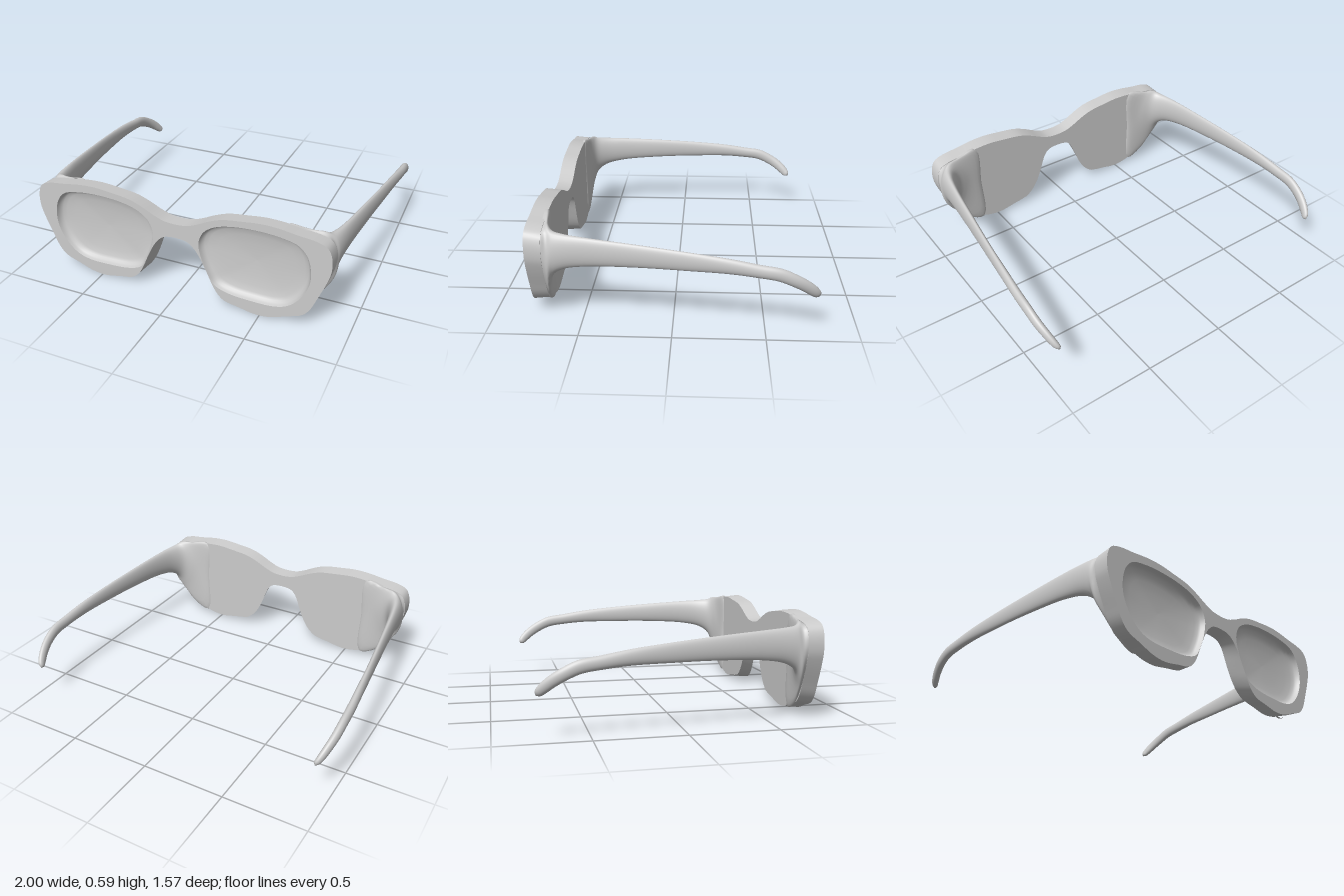
import * as THREE from 'three';

const FRONT = 0.785, BACK = 0.695;
const grey = new THREE.MeshStandardMaterial({ color: 0xcccccc });
const V = (x, y, z = 0) => new THREE.Vector3(x, y, z);

// Smooth closed ring through a few [x, y] points
const ringOf = (pts, n) => {
  const c = new THREE.CatmullRomCurve3(pts.map(p => V(p[0], p[1])), true, 'centripetal');
  return Array.from({ length: n }, (_, i) => c.getPoint(i / n));
};
// Mirror a ring across x = 0, keeping its turning direction
const mirror = ring => ring.map(p => V(-p.x, p.y, p.z)).reverse();

// Skin through counter-clockwise rings that run towards -z
function loft(rings, inside = false) {
  const n = rings[0].length, pos = [], idx = [];
  rings.forEach(r => r.forEach(p => pos.push(p.x, p.y, p.z)));
  for (let r = 0; r < rings.length - 1; r++) {
    for (let i = 0; i < n; i++) {
      const a = r * n + i, b = r * n + (i + 1) % n, c = a + n, d = b + n;
      if (inside) idx.push(a, b, c, b, d, c);
      else idx.push(a, c, b, b, c, d);
    }
  }
  const g = new THREE.BufferGeometry();
  g.setAttribute('position', new THREE.Float32BufferAttribute(pos, 3));
  g.setIndex(idx);
  g.computeVertexNormals();
  return g;
}

// Half of the frame outline, from the top of the bridge round to its underside
const HALF = [
  [0.06, 0.475], [0.13, 0.5], [0.2, 0.535], [0.28, 0.565], [0.4, 0.582], [0.5, 0.592], [0.6, 0.588],
  [0.7, 0.573], [0.8, 0.56], [0.86, 0.535], [0.885, 0.48], [0.887, 0.4], [0.868, 0.33],
  [0.82, 0.21], [0.786, 0.134], [0.745, 0.085], [0.65, 0.047], [0.57, 0.017], [0.48, 0.007],
  [0.38, 0.025], [0.29, 0.045], [0.25, 0.08], [0.22, 0.13], [0.18, 0.22], [0.14, 0.3],
  [0.105, 0.348], [0.06, 0.378]
];
// Lens opening, counter-clockwise
const LENS = [
  [0.14, 0.385], [0.152, 0.3], [0.19, 0.2], [0.23, 0.135], [0.31, 0.102], [0.45, 0.09], [0.58, 0.093],
  [0.66, 0.12], [0.73, 0.19], [0.773, 0.28], [0.78, 0.36], [0.76, 0.45], [0.71, 0.51],
  [0.62, 0.536], [0.5, 0.546], [0.35, 0.538], [0.24, 0.51], [0.17, 0.46]
];

function frontFrame() {
  const group = new THREE.Group();
  group.name = 'frontFrame';
  const add = (geo, name) => {
    const m = new THREE.Mesh(geo, grey);
    m.name = name;
    group.add(m);
  };
  const outline = [...HALF, ...HALF.map(([x, y]) => [-x, y]).reverse()].reverse();
  const front = ringOf(outline, 216).map(p => V(p.x, p.y, FRONT));
  // The back is a little shorter, and fuller beside the nose
  const back = front.map(p => {
    const nose = Math.abs(p.x) < 0.3 && p.y < 0.37 ? Math.sin(Math.PI * p.y / 0.37) * 0.03 : 0;
    return V(p.x - Math.sign(p.x) * nose, 0.33 + (p.y - 0.33) * 0.96, BACK);
  });
  add(loft([front, back]), 'frameEdge');

  const lens = ringOf(LENS, 90);
  const lenses = [lens, mirror(lens)];
  const face = new THREE.Shape(front);
  lenses.forEach(l => face.holes.push(new THREE.Path(l)));
  add(new THREE.ShapeGeometry(face).translate(0, 0, FRONT), 'frameFace');

  const rear = new THREE.ShapeGeometry(new THREE.Shape(back)).translate(0, 0, BACK);
  rear.setIndex(Array.from(rear.index.array).reverse());
  rear.computeVertexNormals();
  add(rear, 'frameBack');

  // Dished lenses: a rounded rim falling to a shallow bowl
  const dish = [[1, 0], [0.985, 0.012], [0.965, 0.024], [0.93, 0.034], [0.86, 0.042],
    [0.7, 0.05], [0.45, 0.056], [0.2, 0.059], [0, 0.06]];
  lenses.forEach((l, k) => {
    const cx = k ? -0.46 : 0.46, cy = 0.325;
    const rings = dish.map(([s, d]) => l.map(p =>
      V(cx + (p.x - cx) * s, cy + (p.y - cy) * s, FRONT - d)));
    add(loft(rings, true), k ? 'rightLens' : 'leftLens');
  });
  return group;
}

// Rings of the left temple, from the frame corner to the hooked tip
function templeRings() {
  const N = 32;
  const root = ringOf([[0.884, 0.4], [0.865, 0.52], [0.75, 0.555], [0.61, 0.573],
    [0.6, 0.32], [0.61, 0.04], [0.72, 0.08], [0.81, 0.2]], N);
  // z, inner x, outer x, lower y, upper y
  const arm = [
    [0.67, 0.7, 0.889, 0.21, 0.56], [0.64, 0.775, 0.891, 0.29, 0.542], [0.58, 0.815, 0.897, 0.333, 0.534],
    [0.46, 0.85, 0.908, 0.36, 0.526], [0.19, 0.89, 0.935, 0.376, 0.507], [-0.1, 0.925, 0.965, 0.378, 0.482],
    [-0.3, 0.941, 0.985, 0.375, 0.46], [-0.45, 0.95, 0.997, 0.362, 0.435]
  ].map(([z, x0, x1, y0, y1]) => [z, (x0 + x1) / 2, (y0 + y1) / 2, (x1 - x0) / 2, (y1 - y0) / 2]);
  // z, centre x, centre y, half width, half height
  const hook = [
    [-0.56, 0.977, 0.381, 0.023, 0.036], [-0.64, 0.971, 0.345, 0.023, 0.034],
    [-0.7, 0.957, 0.307, 0.022, 0.032], [-0.745, 0.94, 0.268, 0.02, 0.028],
    [-0.765, 0.929, 0.246, 0.015, 0.02], [-0.775, 0.924, 0.234, 0.001, 0.001]
  ];
  const rows = [...arm, ...hook];
  const rings = [0.71, BACK].map(z => root.map(p => V(p.x, p.y, z)));
  rows.forEach(([z, x, y, hx, hy], r) => {
    // Sections in the hook lean with its slope
    let lean = 0;
    if (z < -0.4) {
      const a = rows[r - 1], b = rows[Math.min(r + 1, rows.length - 1)];
      lean = Math.atan2(a[2] - b[2], a[0] - b[0]);
    }
    rings.push(Array.from({ length: N }, (_, i) => {
      const t = i / N * Math.PI * 2, up = Math.sin(t) * hy;
      return V(x + Math.cos(t) * hx, y + up * Math.cos(lean), z - up * Math.sin(lean));
    }));
  });
  // Smooth along the length
  const curves = root.map((_, i) => new THREE.CatmullRomCurve3(rings.map(r => r[i]), false, 'centripetal'));
  const S = 75;
  return Array.from({ length: S + 1 }, (_, s) => curves.map(c => c.getPoint(s / S)));
}

export function createModel() {
  const model = new THREE.Group();
  model.name = 'glasses';
  model.add(frontFrame());
  const rings = templeRings();
  [['leftTemple', rings], ['rightTemple', rings.map(mirror)]].forEach(([name, r]) => {
    const m = new THREE.Mesh(loft(r), grey);
    m.name = name;
    model.add(m);
  });
  return model;
}
